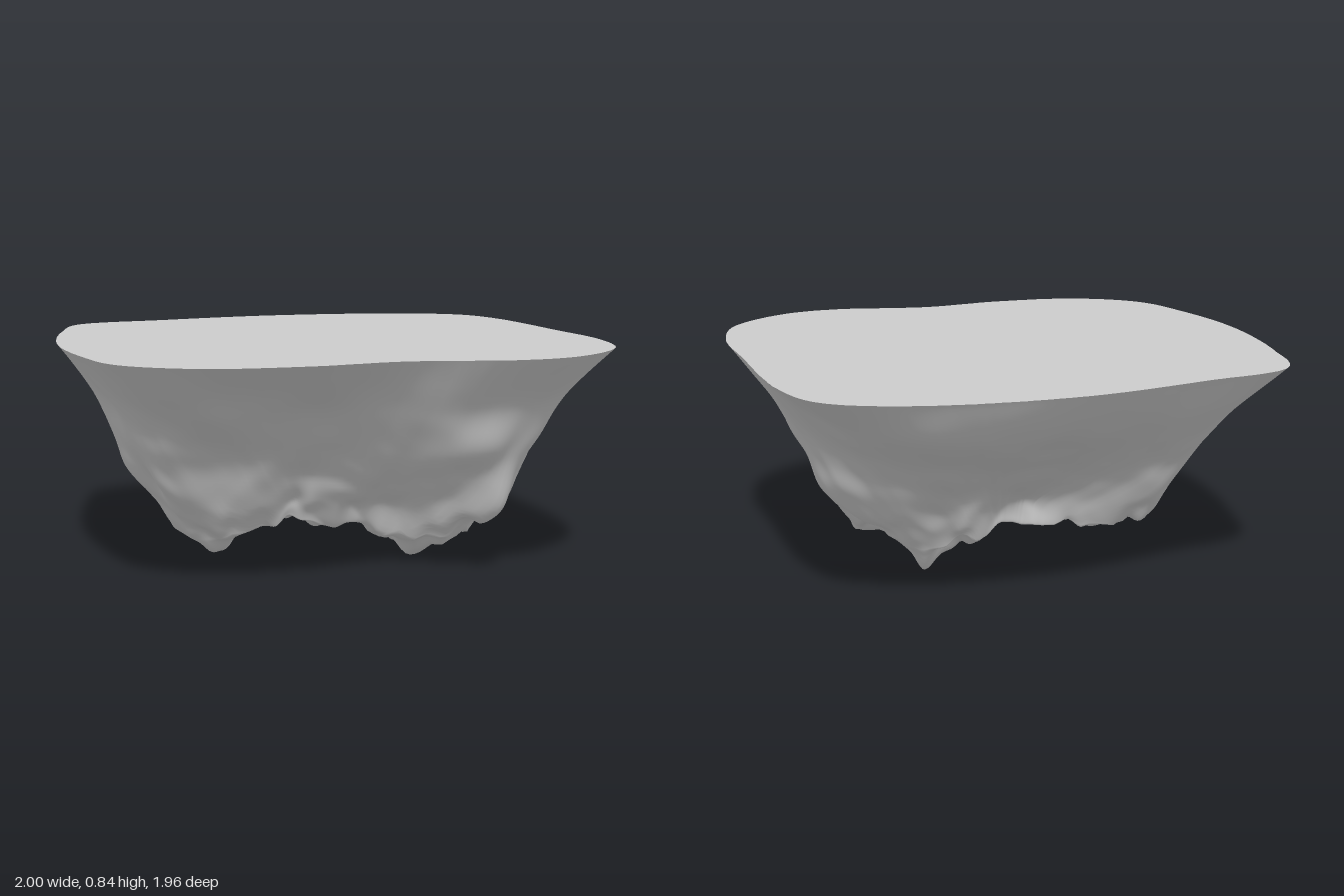
import * as THREE from 'three';

const TOP = 0.84;
const SEGS = 240, WALL = 50, FLOOR = 28;

// Horizontal outlines, given as x, z points around the rock
const rim = [[.98, 0], [1, .35], [.93, .66], [.7, .89], [.48, .95], [.08, .905], [-.25, .97], [-.6, .96], [-.85, .8],
  [-.95, .5], [-1, .1], [-.95, -.4], [-.85, -.72], [-.5, -.84], [0, -.965], [.55, -.95], [.82, -.83], [.92, -.62]];
const shoulder = [[.86, .1], [.78, .55], [.35, .79], [-.15, .64], [-.62, .68], [-.85, .15], [-.76, -.5],
  [-.2, -.72], [.45, -.79], [.73, -.45]];
const waist = [[.76, .1], [.65, .52], [.4, .67], [.15, .58], [-.1, .44], [-.62, .42], [-.77, 0], [-.6, -.4], [0, -.41], [.35, -.5],
  [.6, -.32]];
const foot = [[.65, .1], [.52, .54], [.3, .43], [.1, .32], [-.1, .27], [-.3, .3], [-.53, .33], [-.67, 0], [-.5, -.3],
  [0, -.17], [.3, -.33], [.5, -.23]];
// The underside's edge follows the foot, drawn in
const base = foot.map(([x, z]) => [x * .83, z * .72]);
const levels = [TOP, .65, .45, .25, .14];

// Radius of a smooth closed outline at each of SEGS equal angles
function polarRadii(points) {
  const curve = new THREE.CatmullRomCurve3(points.map(([x, z]) => new THREE.Vector3(x, 0, z)), true);
  const samples = curve.getPoints(900).map(p => ({
    a: (Math.atan2(p.z, p.x) + Math.PI * 2) % (Math.PI * 2), r: Math.hypot(p.x, p.z),
  })).sort((p, q) => p.a - q.a);
  const radii = [];
  for (let j = 0, k = 0; j < SEGS; j++) {
    const a = j / SEGS * Math.PI * 2;
    while (k < samples.length - 1 && samples[k].a < a) k++;
    radii.push(samples[k].r);
  }
  return radii;
}

// Smooth value noise in the range -1 to 1
function hash(x, y, z) {
  const s = Math.sin(x * 127.1 + y * 311.7 + z * 74.7) * 43758.5453;
  return (s - Math.floor(s)) * 2 - 1;
}
function noise(x, y, z) {
  const c = [x, y, z].map(Math.floor);
  const [u, v, w] = [x - c[0], y - c[1], z - c[2]].map(t => t * t * (3 - 2 * t));
  let sum = 0;
  for (let i = 0; i < 8; i++) {
    const a = i & 1, b = (i >> 1) & 1, d = i >> 2;
    sum += hash(c[0] + a, c[1] + b, c[2] + d) * (a ? u : 1 - u) * (b ? v : 1 - v) * (d ? w : 1 - w);
  }
  return sum;
}
const bump = (x, z, cx, cz, s) => Math.exp(-((x - cx) ** 2 + (z - cz) ** 2) / (s * s));

function rockGeometry(radii) {
  const pos = [], index = [], rings = WALL + FLOOR;
  const profiles = radii[0].map((_, j) => new THREE.SplineCurve(
    levels.map((y, k) => new THREE.Vector2(radii[k][j], y))));
  for (let i = 0; i <= rings; i++) {
    const wall = Math.min(1, i / WALL);
    const shrink = 1 - Math.max(0, i - WALL) / FLOOR;
    const rough = Math.min(1, wall * 1.6) * shrink;
    const low = THREE.MathUtils.smoothstep(wall, .6, 1);
    for (let j = 0; j < SEGS; j++) {
      const a = j / SEGS * Math.PI * 2;
      const p = profiles[j].getPoint(wall);
      let x = Math.cos(a) * p.x * shrink, z = Math.sin(a) * p.x * shrink;
      // Long flutes down the walls and finer lumps near the bottom
      const flute = noise(x * 6 + 9, p.y * 3, z * 6) * .04;
      const lump = noise(x * 11, p.y * 8, z * 11 + 5) * .025 * wall;
      x += Math.cos(a) * (flute + lump) * rough;
      z += Math.sin(a) * (flute + lump) * rough;
      // Hanging lobes with narrow tips, and a saddle between them
      const hang = .075 * bump(x, z, .33, -.08, .13) + .09 * bump(x, z, .33, .22, .13)
        + .07 * bump(x, z, -.43, .11, .16) + .07 * bump(x, z, .33, -.11, .05)
        + .05 * bump(x, z, .33, .2, .05) - .05 * bump(x, z, -.12, .1, .15);
      const crag = noise(x * 9 + 3, 1, z * 9) * .035 + noise(x * 18, 4, z * 18) * .03;
      pos.push(x, Math.max(0, p.y + low * (crag - hang)), z);
    }
  }
  for (let i = 0; i < rings; i++) for (let j = 0; j < SEGS; j++) {
    const n = (j + 1) % SEGS, a = i * SEGS + j, b = i * SEGS + n;
    index.push(a, b, a + SEGS);
    if (i < rings - 1) index.push(b, b + SEGS, a + SEGS);
  }
  const g = new THREE.BufferGeometry();
  g.setAttribute('position', new THREE.Float32BufferAttribute(pos, 3));
  g.setIndex(index);
  g.computeVertexNormals();
  return g;
}

export function createModel() {
  const group = new THREE.Group();
  group.name = 'floatingIsland';
  const material = new THREE.MeshStandardMaterial({ color: 0xcccccc, side: THREE.DoubleSide });
  const radii = [rim, shoulder, waist, foot, base].map(polarRadii);

  // Craggy underside
  const rock = new THREE.Mesh(rockGeometry(radii), material);
  rock.name = 'rockUnderside';

  // Flat ground on top
  const outline = radii[0].map((r, j) => {
    const a = j / SEGS * Math.PI * 2;
    return new THREE.Vector2(Math.cos(a) * r, -Math.sin(a) * r);
  });
  const ground = new THREE.Mesh(new THREE.ShapeGeometry(new THREE.Shape(outline)).rotateX(-Math.PI / 2), material);
  ground.name = 'flatTop';
  ground.position.y = TOP;

  group.add(rock, ground);
  return group;
}
